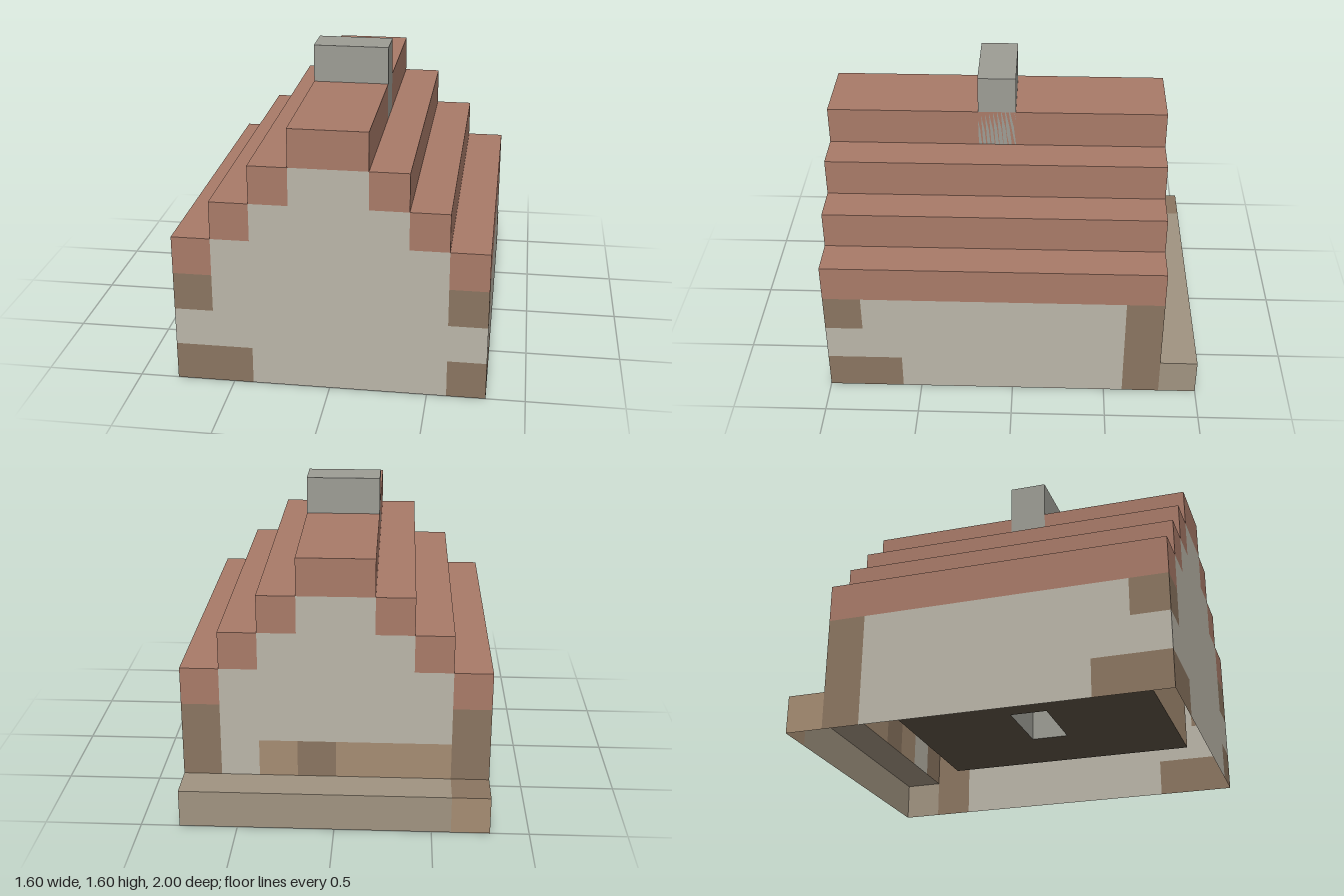
import * as THREE from 'three';

const U = 0.2; // block size
const COLORS = { P: 0xbab5a8, T: 0x8a7560, R: 0xa87a68, D: 0xa58c72, S: 0x9c9c94, L: 0xa09380, F: 0x5e5346 };
const mats = {};
for (const k in COLORS) {
  mats[k] = new THREE.MeshStandardMaterial({ color: COLORS[k], flatShading: true, side: THREE.DoubleSide });
}

// flat rectangle on the plane axis = at; a and b are its ranges (x: z,y  y: x,z  z: x,y)
function panel(parent, name, key, axis, at, [a0, a1], [b0, b1], sign = 1) {
  const geo = new THREE.PlaneGeometry(a1 - a0, b1 - b0);
  const a = (a0 + a1) / 2, b = (b0 + b1) / 2;
  const mesh = new THREE.Mesh(geo, mats[key]);
  mesh.name = name;
  if (axis === 'x') { geo.rotateY(sign * Math.PI / 2); mesh.position.set(at, b, a); }
  if (axis === 'y') { geo.rotateX(-sign * Math.PI / 2); mesh.position.set(a, at, b); }
  if (axis === 'z') { if (sign < 0) geo.rotateY(Math.PI); mesh.position.set(a, b, at); }
  parent.add(mesh);
}

// wall drawn as rows of blocks from the top down, equal neighbours merged
function blockWall(parent, name, rows, axis, at, start, bottom, sign) {
  rows.forEach((row, i) => {
    const y = bottom + (rows.length - 1 - i) * U;
    for (let c = 0, e; c < row.length; c = e) {
      for (e = c + 1; row[e] === row[c];) e++;
      if (row[c] !== '.') panel(parent, name, row[c], axis, at, [start + c * U, start + e * U], [y, y + U], sign);
    }
  });
}

function part(parent, name) {
  const g = new THREE.Group();
  g.name = name;
  parent.add(g);
  return g;
}

// open-ended four-sided sleeve
function sleeve(parent, name, key, [x0, x1], [y0, y1], [z0, z1]) {
  panel(parent, name, key, 'x', x0, [z0, z1], [y0, y1], -1);
  panel(parent, name, key, 'x', x1, [z0, z1], [y0, y1], 1);
  panel(parent, name, key, 'z', z0, [x0, x1], [y0, y1], -1);
  panel(parent, name, key, 'z', z1, [x0, x1], [y0, y1], 1);
}

export function createModel() {
  const house = new THREE.Group();
  house.name = 'house';

  // outer walls with timber corners and stepped gables
  const walls = part(house, 'walls');
  const gable = ['...RR...', '..RPPR..', '.RPPPPR.', 'RPPPPPPR', 'TPPPPPPT'];
  blockWall(walls, 'frontWall', [...gable, 'PPPPPPPP', 'TTPPPPPT'], 'z', 1, -0.8, 0, 1);
  blockWall(walls, 'backWall', [...gable, 'TDDDTDPT'], 'z', -0.8, -0.8, 0.2, -1);
  for (const s of [-1, 1]) {
    blockWall(walls, 'sideWall', ['TPPPPPPPT', 'TPPPPPPPP', 'TPPPPPPTT'], 'x', s * 0.8, -0.8, 0, s);
  }

  // stepped roof
  const roof = part(house, 'roof');
  for (let i = 0; i < 4; i++) {
    const x = 0.8 - i * U, y = 0.6 + i * U;
    for (const s of [-1, 1]) {
      panel(roof, 'roofRiser', 'R', 'x', s * x, [-0.8, 1], [y, y + U], s);
      if (i < 3) panel(roof, 'roofTread', 'R', 'y', y + U, s > 0 ? [x - U, x] : [-x, U - x], [-0.8, 1]);
    }
  }
  panel(roof, 'roofRidge', 'R', 'y', 1.4, [-0.2, 0.2], [-0.8, 1]);

  // chimney shaft running from the floor to above the ridge
  const chimney = part(house, 'chimney');
  sleeve(chimney, 'chimneyShaft', 'S', [-0.2, 0.2], [0.2, 1.6], [0, 0.2]);
  panel(chimney, 'chimneyTop', 'S', 'y', 1.6, [-0.2, 0.2], [0, 0.2]);

  // back step, open underneath
  const step = part(house, 'backStep');
  panel(step, 'stepTop', 'L', 'y', 0.2, [-0.6, 0.8], [-1, -0.8]);
  panel(step, 'stepTopEnd', 'T', 'y', 0.2, [-0.8, -0.6], [-1, -0.8]);
  panel(step, 'stepFace', 'L', 'z', -1, [-0.6, 0.8], [0, 0.2], -1);
  panel(step, 'stepFaceEnd', 'D', 'z', -1, [-0.8, -0.6], [0, 0.2], -1);
  panel(step, 'stepSide', 'D', 'x', -0.8, [-1, -0.8], [0, 0.2], -1);
  panel(step, 'stepSide', 'L', 'x', 0.8, [-1, -0.8], [0, 0.2], 1);

  // inner room: floor pierced by the chimney, and its walls
  const room = part(house, 'room');
  const rect = (C, x0, x1, z0, z1) => new C([[x0, -z1], [x1, -z1], [x1, -z0], [x0, -z0]]
    .map(([x, y]) => new THREE.Vector2(x, y)));
  const outline = rect(THREE.Shape, -0.6, 0.6, -0.6, 0.8);
  outline.holes.push(rect(THREE.Path, -0.2, 0.2, 0, 0.2));
  const floor = new THREE.Mesh(new THREE.ShapeGeometry(outline).rotateX(-Math.PI / 2), mats.F);
  floor.name = 'floor';
  floor.position.y = 0.2;
  room.add(floor);
  sleeve(room, 'roomWall', 'D', [-0.6, 0.6], [0.2, 0.6], [-0.6, 0.8]);

  return house;
}
